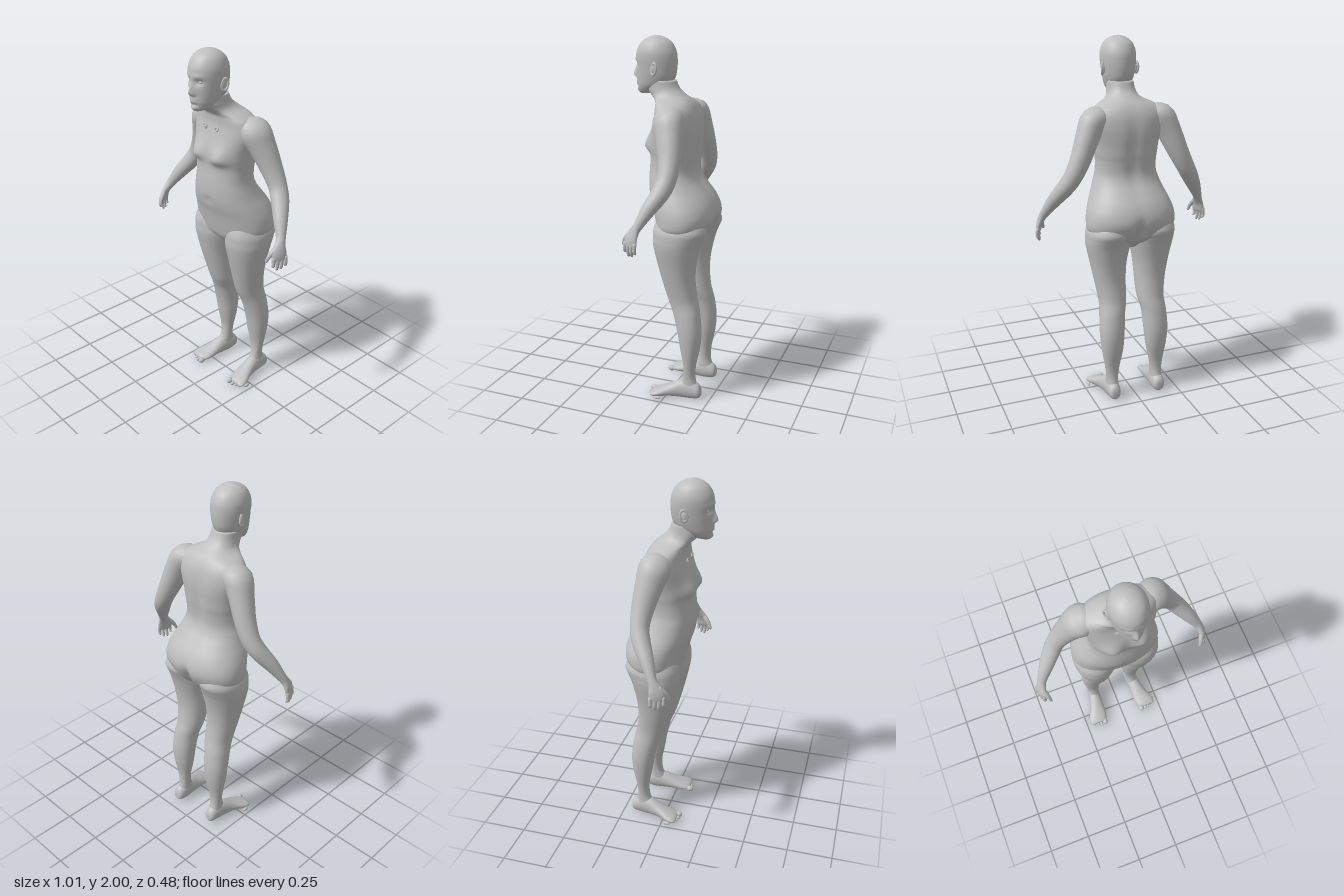
import * as THREE from 'three';

const skin = new THREE.MeshStandardMaterial({ color: 0xbfbfbf });
skin.name = 'grey skin';

const g = (d, s) => Math.exp(-(d * d) / (s * s));
const X = new THREE.Vector3(1, 0, 0);

// Catmull-Rom interpolation of all the numbers of a list of cross-sections
function sample(keys, t) {
  const i = Math.min(Math.floor(t), keys.length - 2), f = t - i;
  const k = (j) => keys[Math.max(0, Math.min(keys.length - 1, j))];
  return keys[0].map((_, c) => {
    const [a, b, d, e] = [k(i - 1)[c], k(i)[c], k(i + 1)[c], k(i + 2)[c]];
    return b + 0.5 * f * (d - a + f * (2 * a - 5 * b + 4 * d - e + f * (3 * (b - d) + e - a)));
  });
}

// Closed smooth skin over cross-sections [x, y, z, half width, half depth]
function loft(keys, { seg = 32, steps = 4, ref = X, dir = null, n = 2, shape = null } = {}) {
  const pos = [], idx = [], rows = (keys.length - 1) * steps;
  const at = (t) => new THREE.Vector3(...sample(keys, t).slice(0, 3));
  const put = (p) => { if (shape) shape(p); pos.push(p.x, p.y, p.z); };
  for (let r = 0; r <= rows; r++) {
    const t = r / steps, s = sample(keys, t), c = at(t);
    const T = dir || at(Math.min(t + 0.2, keys.length - 1)).sub(at(Math.max(t - 0.2, 0))).normalize();
    const U = ref.clone().addScaledVector(T, -ref.dot(T)).normalize();
    const V = U.clone().cross(T);
    for (let j = 0; j < seg; j++) {
      const a = (j / seg) * Math.PI * 2;
      const e = (v) => Math.sign(v) * Math.abs(v) ** (2 / n);
      put(c.clone().addScaledVector(U, s[3] * e(Math.cos(a))).addScaledVector(V, s[4] * e(Math.sin(a))));
      if (r < rows) {
        const p = r * seg + j, q = r * seg + (j + 1) % seg;
        idx.push(p, p + seg, q, q, p + seg, q + seg);
      }
    }
  }
  const first = (rows + 1) * seg;
  put(at(0));
  put(at(keys.length - 1));
  for (let j = 0; j < seg; j++) {
    const k = (j + 1) % seg;
    idx.push(first, j, k, first + 1, rows * seg + k, rows * seg + j);
  }
  const geo = new THREE.BufferGeometry();
  geo.setAttribute('position', new THREE.Float32BufferAttribute(pos, 3));
  geo.setIndex(idx);
  geo.computeVertexNormals();
  return geo;
}

// Level cross-sections given as [y, inner x, outer x, front z, back z]
const level = (rows) => rows.map(([y, xi, xo, f, b]) => [(xi + xo) / 2, y, (f + b) / 2, (xo - xi) / 2, (f - b) / 2]);
const centred = (rows) => level(rows.map(([y, a, f, b]) => [y, -a, a, f, b]));

function mirrored(geo) {
  const m = geo.clone().scale(-1, 1, 1), ix = m.index.array;
  for (let i = 0; i < ix.length; i += 3) [ix[i], ix[i + 1]] = [ix[i + 1], ix[i]];
  m.computeVertexNormals();
  return m;
}

function blob(x, y, z, rx, ry, rz) {
  return new THREE.SphereGeometry(1, 18, 12).scale(rx, ry, rz).translate(x, y, z);
}

export function createModel() {
  const model = new THREE.Group();
  model.name = 'standingFigure';
  const add = (name, geo) => {
    const mesh = new THREE.Mesh(geo, skin);
    mesh.name = name;
    model.add(mesh);
  };
  const pair = (name, geo) => {
    add('left' + name, geo);
    add('right' + name, mirrored(geo));
  };
  const up = new THREE.Vector3(0, 1, 0);

  // Torso and neck: [y, half width, front, back]
  add('torso', loft(centred([
    [0.88, 0.05, -0.02, -0.1], [0.91, 0.11, 0.03, -0.14], [0.95, 0.2, 0.065, -0.19],
    [1.0, 0.243, 0.08, -0.222], [1.05, 0.248, 0.092, -0.238], [1.1, 0.24, 0.105, -0.232],
    [1.15, 0.222, 0.122, -0.21], [1.2, 0.2, 0.133, -0.175], [1.25, 0.182, 0.136, -0.14],
    [1.3, 0.168, 0.135, -0.124], [1.36, 0.167, 0.13, -0.126], [1.4, 0.172, 0.13, -0.131],
    [1.45, 0.178, 0.128, -0.134], [1.5, 0.19, 0.121, -0.136], [1.55, 0.203, 0.108, -0.133],
    [1.6, 0.203, 0.096, -0.123], [1.635, 0.186, 0.095, -0.108], [1.66, 0.15, 0.1, -0.09],
    [1.68, 0.105, 0.12, -0.068], [1.7, 0.082, 0.142, -0.042], [1.73, 0.073, 0.163, -0.012],
    [1.77, 0.07, 0.165, 0.006],
  ]), {
    seg: 64, dir: up, n: 2.25,
    shape: (p) => {
      const ax = Math.abs(p.x);
      if (p.z > 0.03) { // bust and navel
        p.z += 0.032 * g(ax - 0.085, 0.055) * g(p.y - 1.43, p.y > 1.43 ? 0.06 : 0.028);
        p.z -= 0.008 * g(p.x, 0.02) * g(p.y - 1.18, 0.02);
      }
      if (p.z < -0.05) { // seat cleft and spine
        p.z += 0.04 * g(p.x, 0.022) * g(p.y - 0.98, 0.075);
        p.z += 0.012 * g(p.x, 0.035) * g(p.y - 1.4, 0.2);
      }
    },
  }));

  // Head with sculpted face
  add('head', loft(centred([
    [1.697, 0.02, 0.205, 0.15], [1.71, 0.043, 0.216, 0.1], [1.74, 0.066, 0.22, 0.045],
    [1.78, 0.08, 0.221, 0.012], [1.83, 0.089, 0.223, 0.001], [1.88, 0.095, 0.224, 0],
    [1.92, 0.093, 0.22, 0.006], [1.96, 0.078, 0.199, 0.027], [1.985, 0.052, 0.168, 0.06],
    [1.997, 0.024, 0.135, 0.092], [2.0, 0.004, 0.118, 0.11],
  ]), {
    seg: 96, steps: 6, dir: up,
    shape: (p) => {
      if (p.z < 0.13) return;
      const ax = Math.abs(p.x), y = p.y;
      const ridge = y > 1.795 ? g(y - 1.795, 0.042) : g(y - 1.795, 0.014);
      p.z += 0.024 * ridge * g(ax, y > 1.82 ? 0.011 : 0.014);
      p.z += 0.008 * g(ax - 0.014, 0.008) * g(y - 1.788, 0.01);
      p.z -= 0.013 * g(ax - 0.036, 0.022) * g(y - 1.85, 0.016);
      p.z += 0.005 * g(ax - 0.035, 0.03) * g(y - 1.878, 0.012);
      p.z += 0.008 * g(ax, 0.026) * (g(y - 1.763, 0.006) + g(y - 1.748, 0.007));
      p.z -= 0.005 * g(ax, 0.03) * g(y - 1.733, 0.008);
      p.z += 0.005 * g(ax, 0.025) * g(y - 1.715, 0.012);
    },
  }));
  pair('Eye', blob(0.036, 1.85, 0.193, 0.015, 0.01, 0.013));
  const ear = new THREE.TorusGeometry(0.02, 0.006, 8, 20).scale(0.9, 1.45, 1)
    .rotateY(Math.PI / 2 - 0.35).rotateX(-0.15).translate(0.096, 1.832, 0.092);
  pair('EarRim', ear);
  pair('Ear', blob(0.091, 1.83, 0.094, 0.009, 0.028, 0.018));

  // Small curls lying on the upper chest
  pair('ChestCurl', new THREE.TorusGeometry(0.012, 0.004, 8, 16, 4.6).translate(0.045, 1.582, 0.102));
  pair('ChestBead', blob(0.045, 1.578, 0.1, 0.007, 0.007, 0.009));

  // Legs
  pair('Leg', loft(level([
    [1.08, 0.06, 0.2, 0.04, -0.17], [1.0, 0.015, 0.243, 0.074, -0.216], [0.95, 0.006, 0.249, 0.078, -0.202],
    [0.9, 0.007, 0.246, 0.076, -0.183], [0.8, 0.025, 0.226, 0.055, -0.16],
    [0.7, 0.032, 0.207, 0.03, -0.152], [0.6, 0.036, 0.191, 0.002, -0.163],
    [0.55, 0.044, 0.19, -0.018, -0.175], [0.5, 0.055, 0.195, -0.038, -0.185],
    [0.4, 0.062, 0.2, -0.063, -0.195], [0.3, 0.071, 0.192, -0.08, -0.187],
    [0.2, 0.09, 0.176, -0.098, -0.167], [0.13, 0.1, 0.167, -0.093, -0.165],
    [0.08, 0.1, 0.168, -0.075, -0.178], [0.04, 0.105, 0.165, -0.09, -0.185],
  ]), { dir: new THREE.Vector3(0, -1, 0), n: 2.15 }));

  // Feet with flat soles, and toes
  pair('Foot', loft([
    [0.135, 0.04, -0.2, 0.016, 0.02], [0.135, 0.047, -0.187, 0.032, 0.04], [0.135, 0.055, -0.14, 0.038, 0.058],
    [0.14, 0.052, -0.085, 0.04, 0.055], [0.15, 0.038, -0.02, 0.048, 0.037],
    [0.163, 0.026, 0.03, 0.057, 0.026], [0.17, 0.02, 0.065, 0.054, 0.018], [0.172, 0.018, 0.08, 0.04, 0.01],
  ], { dir: new THREE.Vector3(0, 0, 1), shape: (p) => { p.y = Math.max(p.y, 0.004); } }));
  for (let i = 0; i < 5; i++) {
    const r = i ? 0.011 - i * 0.0006 : 0.016;
    pair('Toe' + (i + 1), blob(0.13 + i * 0.022 + (i ? 0.005 : 0), r, 0.082 - 0.003 * i * i, r, r, 0.022));
  }

  // Arms down to the palms: [x, y, z, half width, half thickness]
  const handSide = new THREE.Vector3(-0.35, 0, 0.93);
  pair('Arm', loft([
    [0.12, 1.6, -0.02, 0.06, 0.04], [0.185, 1.585, -0.028, 0.084, 0.072], [0.23, 1.505, -0.048, 0.073, 0.064],
    [0.275, 1.4, -0.068, 0.06, 0.056], [0.32, 1.31, -0.073, 0.05, 0.05], [0.36, 1.245, -0.053, 0.048, 0.046],
    [0.41, 1.17, -0.01, 0.038, 0.038], [0.45, 1.1, 0.025, 0.026, 0.026], [0.463, 1.07, 0.042, 0.028, 0.021],
    [0.474, 1.035, 0.058, 0.04, 0.017], [0.479, 1.0, 0.063, 0.04, 0.014], [0.48, 0.985, 0.064, 0.033, 0.009],
  ], { ref: handSide, seg: 28 }));

  // Fingers and thumb
  const ends = [0.952, 0.932, 0.934, 0.95];
  ends.forEach((tip, i) => {
    const z = 0.094 - i * 0.021, x = 0.469 + i * 0.008;
    pair('Finger' + (i + 1), loft([
      [x, 1.01, z, 0.01, 0.01], [x + 0.004, 0.975, z + 0.002, 0.0095, 0.0095],
      [x + 0.002, (0.975 + tip) / 2, z + 0.001, 0.009, 0.009],
      [x - 0.003, tip + 0.006, z, 0.007, 0.007], [x - 0.005, tip, z, 0.002, 0.002],
    ], { ref: handSide, seg: 12, steps: 3 }));
  });
  pair('Thumb', loft([
    [0.465, 1.06, 0.065, 0.014, 0.013], [0.454, 1.03, 0.093, 0.014, 0.013], [0.446, 1.005, 0.11, 0.01, 0.01],
    [0.441, 0.985, 0.117, 0.008, 0.008], [0.44, 0.978, 0.118, 0.002, 0.002],
  ], { seg: 12, steps: 3 }));

  return model;
}
